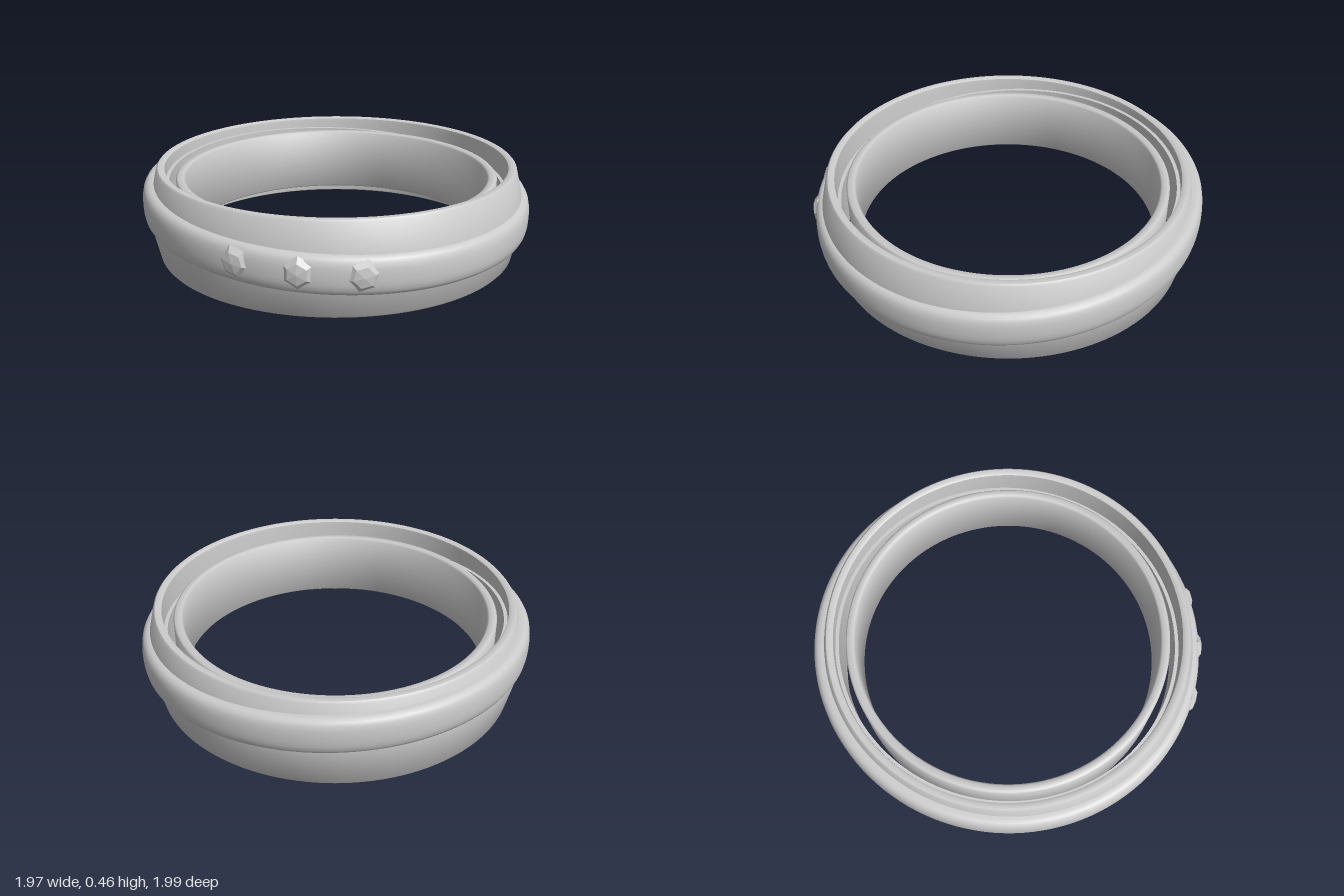
import * as THREE from 'three';
import { toCreasedNormals } from 'three/addons/utils/BufferGeometryUtils.js';

const material = new THREE.MeshStandardMaterial({ color: 0xcccccc });
const gemMaterial = new THREE.MeshStandardMaterial({ color: 0xcccccc, flatShading: true });
const CENTRE_Z = -0.013;
const BAND_Y = 0.268;

// Height shift of the tilted band at a point around the ring
const tilt = (x, z) => -0.042 * x - 0.038 * z;

// Revolves a closed profile of [radius, y], given counter-clockwise
function revolve(name, profile, crease = 0.5) {
  const points = [...profile, profile[0]].map(([r, y]) => new THREE.Vector2(r, y));
  const geometry = toCreasedNormals(new THREE.LatheGeometry(points, 128), crease);
  const mesh = new THREE.Mesh(geometry, material);
  mesh.name = name;
  return mesh;
}

// Faceted stone, its axis along +y
function createGem() {
  const profile = [[0.06, -0.06], [0.08, -0.012], [0.05, 0.012], [0, 0.02]]
    .map(([r, y]) => new THREE.Vector2(r, y));
  const gem = new THREE.Mesh(new THREE.LatheGeometry(profile, 6), gemMaterial);
  gem.name = 'gem';
  return gem;
}

export function createModel() {
  const model = new THREE.Group();
  model.name = 'ring';
  const body = new THREE.Group();
  body.name = 'ringBody';
  body.position.z = CENTRE_Z;
  model.add(body);

  // Outer shell, widest at mid height
  body.add(revolve('outerShell', [
    [0.885, 0], [0.905, 0.002], [0.914, 0.012], [0.958, 0.2], [0.958, 0.262],
    [0.914, 0.45], [0.905, 0.46], [0.885, 0.462], [0.872, 0.455], [0.87, 0.44],
    [0.87, 0.022], [0.872, 0.007],
  ], 0.7));

  // Plain inner sleeve, set a little below the shell's rims
  body.add(revolve('innerSleeve', [
    [0.78, 0.06], [0.81, 0.06], [0.818, 0.068], [0.818, 0.392], [0.81, 0.4],
    [0.78, 0.4], [0.771, 0.391], [0.771, 0.069],
  ], 0.9));

  // Rounded band, sheared so that it runs at a slant around the shell
  const half = [[0.94, 0.093], [0.957, 0.09], [0.97, 0.08], [0.979, 0.064], [0.984, 0.04], [0.986, 0.015]];
  const bandProfile = [
    [0.852, -0.093],
    ...half.map(([r, y]) => [r, -y]),
    ...half.slice().reverse(),
    [0.852, 0.093],
  ];
  const band = revolve('slantedBand', bandProfile, 0.7);
  const p = band.geometry.attributes.position;
  for (let i = 0; i < p.count; i++) {
    p.setY(i, p.getY(i) + BAND_Y + tilt(p.getX(i), p.getZ(i)));
  }
  body.add(band);

  // Three stones on the front of the band
  [-0.3, 0, 0.29].forEach((angle) => {
    const x = Math.sin(angle), z = Math.cos(angle);
    const gem = createGem();
    gem.position.set(x * 0.985, BAND_Y + tilt(x, z) + 0.008, z * 0.985);
    gem.quaternion.setFromUnitVectors(new THREE.Vector3(0, 1, 0), new THREE.Vector3(x, 0, z));
    body.add(gem);
  });

  return model;
}
